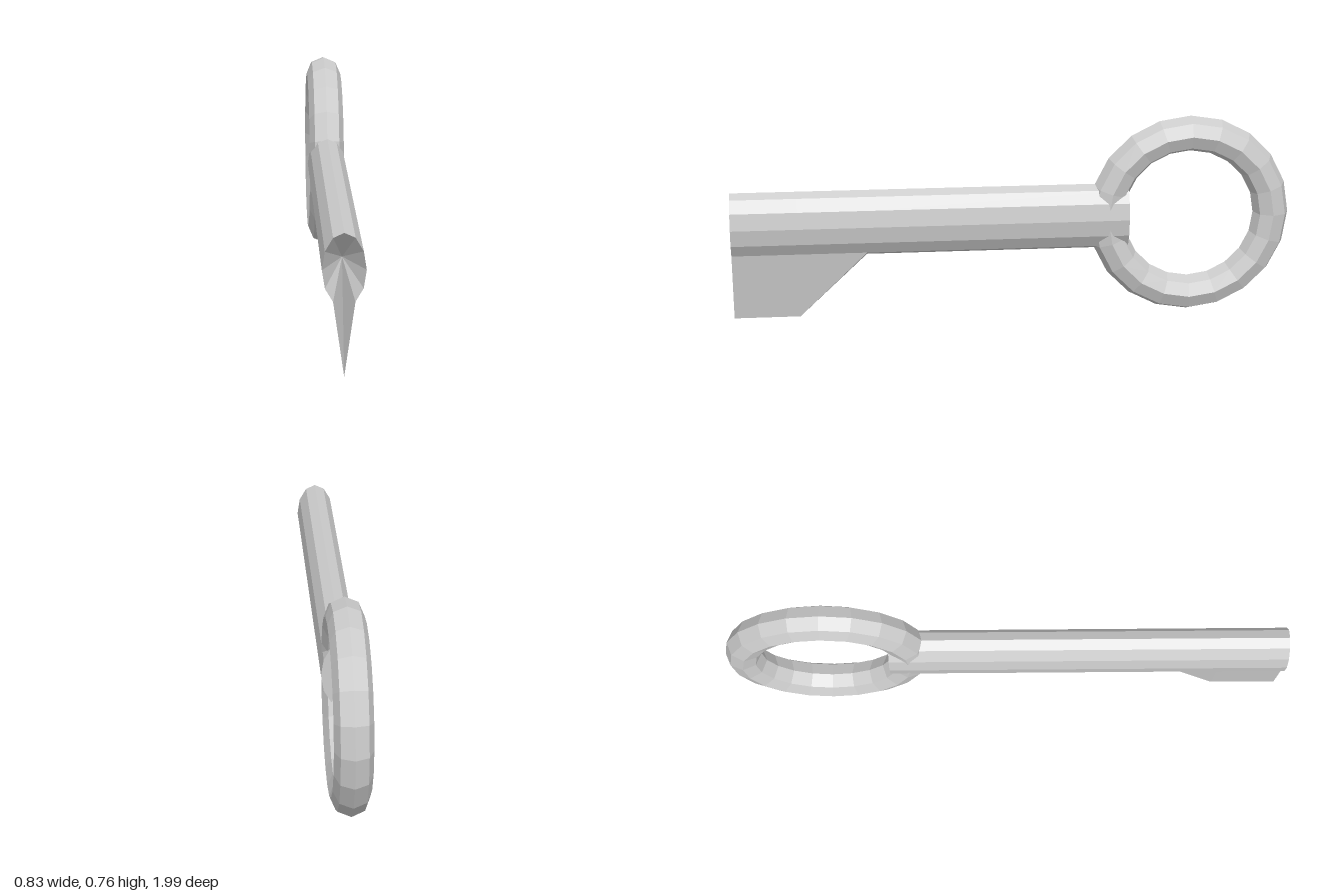
import * as THREE from 'three';

const SIDES = 12;
const HALF_WIDTH = 0.073;
const HALF_HEIGHT = 0.125;

// Oval shaft lofted along z; its lowest ridge is pulled down to form the bit.
function shaftGeometry() {
  // [position along shaft, depth of the lowest ridge]
  const stations = [[0.234, HALF_HEIGHT], [1.215, HALF_HEIGHT], [1.47, 0.366], [1.717, 0.366]];
  const positions = [];
  const indices = [];

  for (const [z, drop] of stations) {
    for (let i = 0; i < SIDES; i++) {
      const a = (i / SIDES) * Math.PI * 2;
      const y = i === SIDES / 2 ? -drop : HALF_HEIGHT * Math.cos(a);
      positions.push(HALF_WIDTH * Math.sin(a), y, z);
    }
  }

  const last = (stations.length - 1) * SIDES;
  const back = stations.length * SIDES;
  const front = back + 1;
  positions.push(0, 0, 0.234); // flat back end
  positions.push(0, 0, 1.56); // hollowed front end

  for (let i = 0; i < SIDES; i++) {
    const j = (i + 1) % SIDES;
    for (let k = 0; k < last; k += SIDES) {
      const a = k + i, b = k + j, c = b + SIDES, d = a + SIDES;
      indices.push(a, d, c, a, c, b);
    }
    indices.push(back, i, j, front, last + j, last + i);
  }

  const geometry = new THREE.BufferGeometry();
  geometry.setAttribute('position', new THREE.Float32BufferAttribute(positions, 3));
  geometry.setIndex(indices);
  const flat = geometry.toNonIndexed();
  flat.computeVertexNormals();
  return flat;
}

export function createModel() {
  const material = new THREE.MeshStandardMaterial({ color: 0xcccccc, flatShading: true });
  const model = new THREE.Group();
  model.name = 'key';

  // The key is built along z from the ring centre, then turned about y.
  const key = new THREE.Group();
  key.name = 'keyBody';
  key.position.set(-0.246, 0.38, -0.64);
  key.rotation.y = THREE.MathUtils.degToRad(20.2);
  model.add(key);

  // Ring handle
  const ring = new THREE.Mesh(new THREE.TorusGeometry(0.313, 0.067, 8, 20), material);
  ring.name = 'ringHandle';
  ring.rotation.y = Math.PI / 2;
  key.add(ring);

  // Shaft with bit
  const shaft = new THREE.Mesh(shaftGeometry(), material);
  shaft.name = 'shaftAndBit';
  key.add(shaft);

  return model;
}
